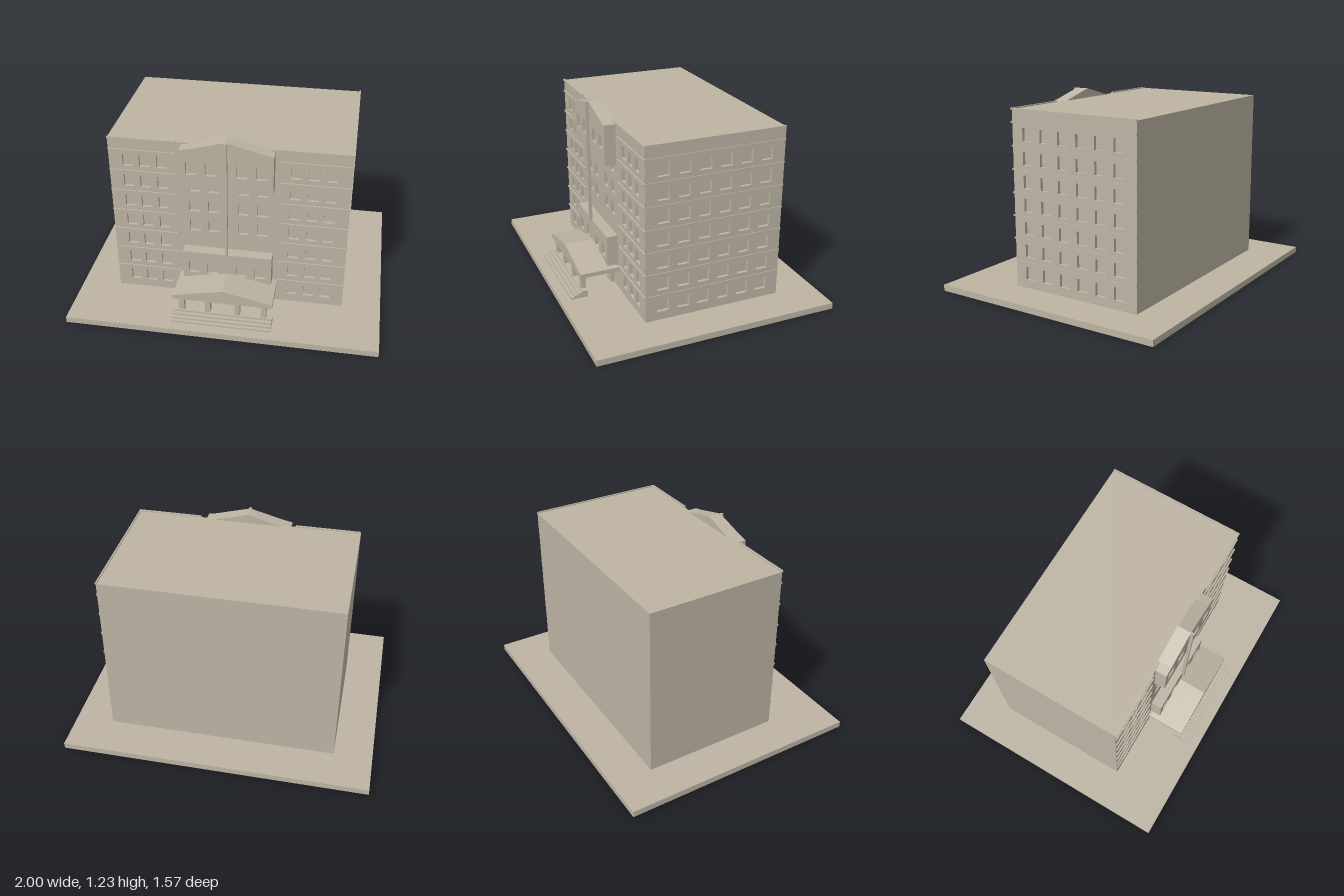
import * as THREE from 'three';

export function createModel() {
  const model = new THREE.Group();
  model.name = 'officeBuilding';
  const stone = new THREE.MeshStandardMaterial({ name: 'warm stone', color: 0xbdb4a3 });

  const add = (name, geometry, parent = model) => {
    const mesh = new THREE.Mesh(geometry, stone);
    mesh.name = name;
    parent.add(mesh);
    return mesh;
  };
  // Box given by its limits on each axis
  const box = (name, x0, x1, y0, y1, z0, z1, parent) => {
    const mesh = add(name, new THREE.BoxGeometry(x1 - x0, y1 - y0, z1 - z0), parent);
    mesh.position.set((x0 + x1) / 2, (y0 + y1) / 2, (z0 + z1) / 2);
    return mesh;
  };
  // Outline pushed along z, with rectangular openings [cx, cy, w, h]
  const slab = (name, outline, z0, z1, openings = [], parent = model) => {
    const shape = new THREE.Shape(outline.map(([x, y]) => new THREE.Vector2(x, y)));
    for (const [cx, cy, w, h] of openings) {
      const x = w / 2, y = h / 2;
      shape.holes.push(new THREE.Path([
        new THREE.Vector2(cx - x, cy - y), new THREE.Vector2(cx - x, cy + y),
        new THREE.Vector2(cx + x, cy + y), new THREE.Vector2(cx + x, cy - y),
      ]));
    }
    const geometry = new THREE.ExtrudeGeometry(shape, { depth: z1 - z0, bevelEnabled: false });
    const mesh = add(name, geometry, parent);
    mesh.position.z = z0;
    return mesh;
  };
  const rect = (x0, x1, y0, y1) => [[x0, y0], [x1, y0], [x1, y1], [x0, y1]];

  // Ground plinth and solid core
  box('groundPlinth', -1, 1, 0, 0.04, -0.785, 0.785);
  box('buildingCore', -0.75, 0.73, 0.04, 1.168, -0.52, 0.365);

  // Front wall with recessed windows
  const rows = Array.from({ length: 7 }, (_, i) => 0.137 + i * 0.1467);
  const middleColumns = [-0.215, -0.095, 0.095, 0.215];
  const frontWindows = [];
  rows.forEach((y, i) => {
    for (const x of [-0.63, -0.525, -0.415, 0.415, 0.525, 0.63]) frontWindows.push([x, y, 0.066, 0.082]);
    if (i >= 3 && i <= 5) for (const x of middleColumns) frontWindows.push([x, y, 0.068, 0.082]);
  });
  slab('frontWall', rect(-0.75, 0.75, 0.04, 1.168), 0.365, 0.385, frontWindows);

  // Left side wall with recessed windows (local x runs towards -z)
  const sideWindows = [];
  for (const y of rows) {
    for (let i = 0; i < 6; i++) sideWindows.push([-0.27 + i * 0.134, y, 0.075, 0.082]);
  }
  const side = new THREE.Group();
  side.name = 'leftSide';
  side.rotation.y = Math.PI / 2;
  model.add(side);
  slab('leftWall', rect(-0.365, 0.52, 0.04, 1.168), 0.73, 0.75, sideWindows, side);

  // Floor ledges on the front wings and the left side
  for (const y of [0.208, 0.355, 0.502, 0.648, 0.795, 0.942, 1.089, 1.17]) {
    const lo = y - 0.005, hi = y + 0.005;
    box('frontLedgeRight', -0.75, -0.32, lo, hi, 0.38, 0.394);
    box('frontLedgeLeft', 0.32, 0.755, lo, hi, 0.38, 0.394);
    box('sideLedge', 0.745, 0.755, lo, hi, -0.52, 0.38);
  }

  // Gabled upper bay
  const bayOutline = [[-0.287, 0.898], [0.287, 0.898], [0.287, 1.157], [0.23, 1.168],
    [0, 1.23], [-0.23, 1.168], [-0.287, 1.157]];
  slab('upperBayCore', bayOutline, 0.368, 0.438);
  slab('upperBayFront', bayOutline, 0.438, 0.458, middleColumns.map(x => [x, 1.035, 0.068, 0.085]));

  // Lower bay above the porch
  box('lowerBayCore', -0.287, 0.287, 0.205, 0.415, 0.38, 0.438);
  slab('lowerBayFront', rect(-0.287, 0.287, 0.205, 0.415), 0.438, 0.458,
    middleColumns.map(x => [x, 0.295, 0.068, 0.082]));

  // Slim mast between the two bays
  box('centralMast', -0.008, 0.008, 0.413, 1.228, 0.457, 0.478);

  // Porch roof
  box('porchBeam', -0.32, 0.32, 0.176, 0.204, 0.385, 0.65);
  slab('porchGable', [[-0.32, 0.204], [0.32, 0.204], [0, 0.272]], 0.4, 0.65);

  // Porch columns
  for (const x of [-0.265, -0.095, 0.095, 0.265]) {
    box('porchColumn', x - 0.017, x + 0.017, 0.04, 0.176, 0.604, 0.638);
  }

  // Entrance steps
  for (let i = 0; i < 4; i++) {
    box('entranceStep', -0.32, 0.32, 0.04 + i * 0.011, 0.051 + i * 0.011, 0.605, 0.718 - i * 0.024);
  }

  // Entrance doors
  for (const [x, w] of [[-0.167, 0.075], [0, 0.15], [0.167, 0.075]]) {
    box('entranceDoor', x - w / 2, x + w / 2, 0.04, 0.163, 0.38, 0.408);
  }

  return model;
}
